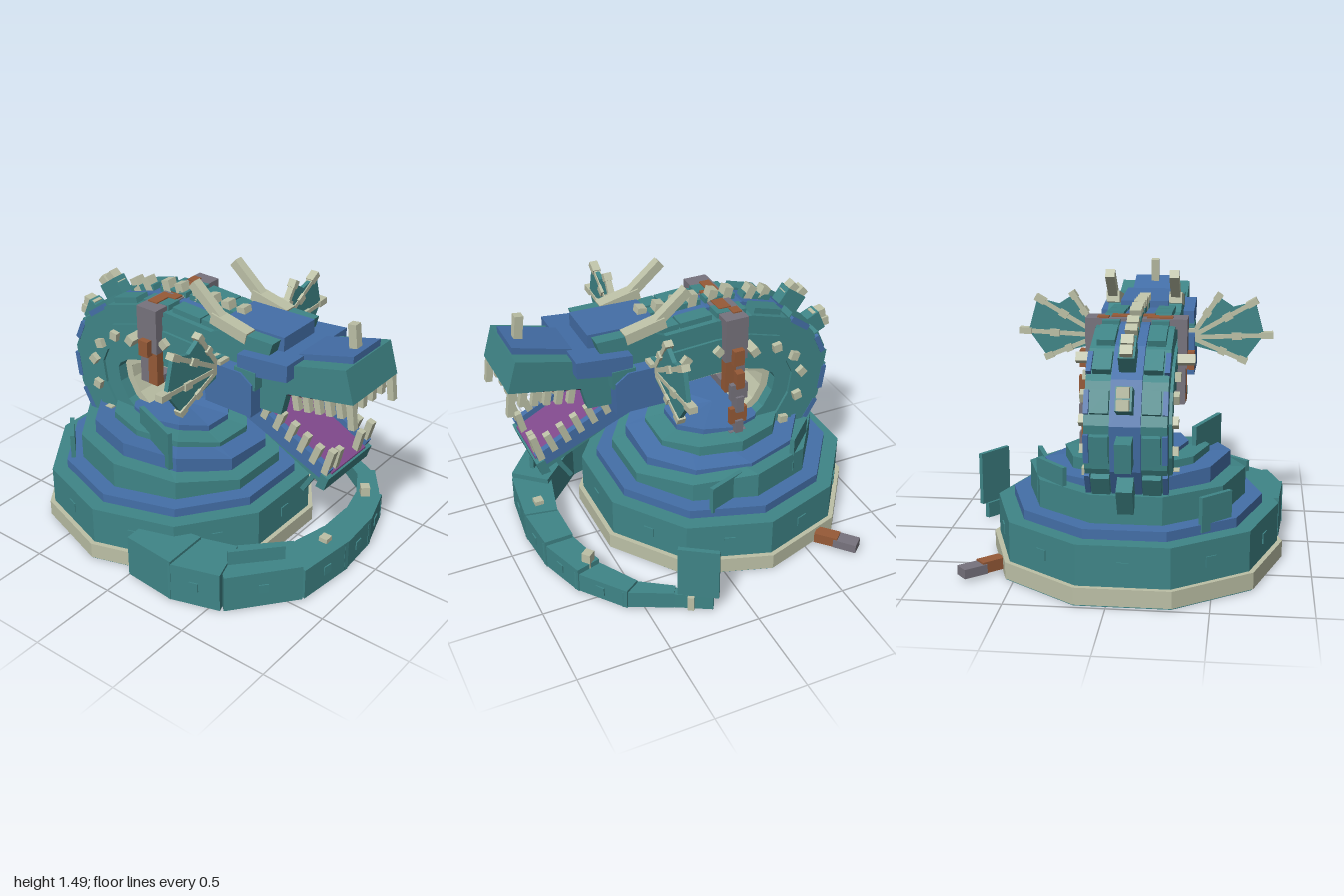
import * as THREE from 'three';

const mat = (name, color) => Object.assign(new THREE.MeshStandardMaterial({ color }), { name });
const teal = mat('teal scales', 0x3f8587), blue = mat('blue ridge', 0x446fa8), cream = mat('bone', 0xbcc0a6),
  rust = mat('rust', 0x965a37), iron = mat('iron', 0x77737d), purple = mat('tongue', 0x80498c),
  maroon = mat('mouth', 0x3f2039);
const V = (x, y, z) => new THREE.Vector3(x, y, z);

export function createModel() {
  const model = new THREE.Group();
  model.name = 'seaSerpent';
  const body = new THREE.Group();
  body.name = 'body';
  body.position.x = -0.08;
  model.add(body);

  const add = (name, geo, m, parent = body) => {
    const mesh = new THREE.Mesh(geo, m);
    mesh.name = name;
    parent.add(mesh);
    return mesh;
  };
  const flat = (geo) => {
    const g = geo.index ? geo.toNonIndexed() : geo;
    g.computeVertexNormals();
    return g;
  };
  const box = (name, m, w, h, d, x, y, z, rx = 0, ry = 0, rz = 0, parent = body) => {
    const b = add(name, new THREE.BoxGeometry(w, h, d), m, parent);
    b.position.set(x, y, z);
    b.rotation.set(rx, ry, rz);
    return b;
  };
  // side profile of [z, y] points, extruded from x0 to x1
  const slab = (name, m, pts, x0, x1) => {
    const shape = new THREE.Shape(pts.map(p => new THREE.Vector2(...p)));
    const g = new THREE.ExtrudeGeometry(shape, { depth: x1 - x0, bevelEnabled: false });
    return add(name, g.rotateY(-Math.PI / 2).translate(x1, 0, 0), m);
  };
  // bar of rectangular section between two points
  const bar = (name, m, a, b, w, d = w, parent = body) => {
    const dir = b.clone().sub(a);
    const mesh = add(name, new THREE.BoxGeometry(w, dir.length(), d), m, parent);
    mesh.position.copy(a).add(b).multiplyScalar(0.5);
    mesh.quaternion.setFromUnitVectors(V(0, 1, 0), dir.normalize());
    return mesh;
  };
  // rectangular tube along a path; dims(i) = [half width, low, high]
  const frame = (path, i, upright) => {
    const t = path[Math.min(i + 1, path.length - 1)].clone().sub(path[Math.max(i - 1, 0)]).normalize();
    const a = upright ? V(0, 1, 0).cross(t).normalize() : V(-1, 0, 0);
    return { a, n: upright ? V(0, 1, 0) : t.clone().cross(a) };
  };
  const sweep = (name, m, path, dims, upright = false, parent = body) => {
    const rows = path.map((p, i) => {
      const { a, n } = frame(path, i, upright), [w, lo, hi] = dims(i);
      return [[-w, lo], [w, lo], [w, hi], [-w, hi]].map(([u, v]) => p.clone().addScaledVector(a, u).addScaledVector(n, v));
    });
    const pos = [];
    const quad = (a, b, c, d) => [a, b, c, a, c, d].forEach(v => pos.push(v.x, v.y, v.z));
    for (let i = 0; i < rows.length - 1; i++)
      for (let j = 0; j < 4; j++) quad(rows[i][j], rows[i][(j + 1) % 4], rows[i + 1][(j + 1) % 4], rows[i + 1][j]);
    quad(...rows[0].slice().reverse());
    quad(...rows[rows.length - 1]);
    const g = new THREE.BufferGeometry().setAttribute('position', new THREE.Float32BufferAttribute(pos, 3));
    return add(name, flat(g), m, parent);
  };

  // Coils: ten-sided rings; upper ones drop toward the front and lean to one side
  const ring = (name, m, rIn, rOut, y0, y1, drop = 0, lean = 0) => {
    const pts = [[rIn, y0], [rOut, y0], [rOut, y1], [rIn, y1], [rIn, y0]].map(p => new THREE.Vector2(...p));
    const g = new THREE.LatheGeometry(pts, 10, Math.PI / 2).toNonIndexed(), p = g.attributes.position;
    for (let i = 0; i < p.count; i++)
      if (p.getY(i) > 0.3) p.setY(i, p.getY(i) - drop * Math.max(0, p.getZ(i) - 0.15) - lean * p.getX(i));
    add(name, flat(g), m).position.z = -0.25;
  };
  ring('coilSole', teal, 0.43, 0.765, 0.005, 0.015);
  ring('coilBelly', cream, 0.7, 0.772, 0.012, 0.1);
  ring('lowerCoil', teal, 0.43, 0.745, 0.014, 0.31);
  ring('lowerCoilRidge', blue, 0.45, 0.66, 0.3, 0.36);
  ring('middleCoil', teal, 0.23, 0.57, 0.3, 0.505, 0.22);
  ring('middleCoilRidge', blue, 0.2, 0.49, 0.48, 0.56, 0.2, 0.07);
  ring('upperCoil', teal, 0.02, 0.38, 0.5, 0.61, 0.3, 0.03);
  ring('upperCoilRidge', blue, 0, 0.27, 0.5, 0.63, 0.3, 0.03);
  for (let i = 0; i < 10; i++) {
    const a = (i + 0.5) * Math.PI / 5 + Math.PI / 2, r = 0.711;
    box('coilScale', teal, 0.06, 0.055, 0.008, Math.sin(a) * r, 0.2, Math.cos(a) * r - 0.25, 0, a);
  }
  // Upright fin plates on the coils: x0, z0, x1, z1, y0, y1
  [[-0.42, 0.02, -0.3, -0.28, 0.5, 0.72], [0.32, -0.67, 0.48, -0.5, 0.36, 0.6], [0.47, -0.25, 0.57, 0.03, 0.34, 0.5],
    [-0.5, -0.62, -0.36, -0.76, 0.32, 0.5], [-0.58, 0.52, -0.36, 0.72, 0.18, 0.3]].forEach(([x0, z0, x1, z1, y0, y1]) =>
    box('coilFin', teal, Math.hypot(x1 - x0, z1 - z0), y1 - y0, 0.025,
      (x0 + x1) / 2, (y0 + y1) / 2, (z0 + z1) / 2, 0, -Math.atan2(z1 - z0, x1 - x0)));

  // Tail sweeping across the front in stepped segments
  const tail = [[-0.74, 0], [-0.73, 0.28], [-0.66, 0.5], [-0.39, 0.74], [-0.1, 0.79], [0.14, 0.78], [0.38, 0.71], [0.6, 0.56], [0.71, 0.37], [0.82, 0.2]]
    .map(([x, z]) => V(x, 0, z));
  const tw = [0.095, 0.13, 0.13, 0.11, 0.09, 0.08, 0.07, 0.05, 0.03, 0.014];
  const th = [0.25, 0.235, 0.22, 0.19, 0.18, 0.155, 0.125, 0.11, 0.1];
  th.forEach((h, i) => {
    const d = tail[i + 1].clone().sub(tail[i]).normalize();
    const ends = [tail[i].clone().addScaledVector(d, i ? -0.025 : 0), tail[i + 1].clone().addScaledVector(d, 0.025)];
    sweep('tailSegment', teal, ends, k => [tw[i + k], 0.012, h], true, model);
    if (i < 1 || i > 6) return;
    const c = tail[i].clone().lerp(tail[i + 1], 0.5), w = (tw[i] + tw[i + 1]) / 2 + 0.003;
    box('tailScale', teal, 0.05, 0.05, 0.008, c.x - d.z * w, h * 0.55, c.z + d.x * w, 0, Math.atan2(-d.z, d.x), 0, model);
  });
  box('tailFin', teal, 0.025, 0.3, 0.216, 0.8, 0.25, 0.25, 0, Math.atan2(0.12, -0.18), 0, model);
  box('tailSpike', cream, 0.05, 0.09, 0.05, 0.37, 0.165, 0.69, 0, 0.7, 0, model);
  box('tailSpike', cream, 0.05, 0.05, 0.05, -0.16, 0.19, 0.78, 0, 0, 0, model);
  box('tailTipBone', cream, 0.06, 0.085, 0.035, 0.78, 0.055, 0.28, 0, -0.6, 0, model);

  // Arched neck
  const neck = [[0.22, 1.08], [0.02, 1.09], [-0.17, 1.1], [-0.35, 1.09], [-0.52, 1.04], [-0.63, 0.96], [-0.68, 0.85], [-0.66, 0.7], [-0.58, 0.56], [-0.45, 0.45]]
    .map(([z, y]) => V(0, y, z));
  sweep('neck', teal, neck, () => [0.2, -0.15, 0.165]);
  sweep('neckBelly', cream, neck, () => [0.14, -0.195, -0.145]);
  sweep('neckSideBand', teal, neck, () => [0.215, -0.05, 0.06]);
  sweep('neckRidge', blue, neck, () => [0.075, 0.1, 0.185]);
  for (let i = 0; i < 9; i++) {
    const p = neck[i].clone().lerp(neck[i + 1], 0.5);
    const t = neck[i + 1].clone().sub(neck[i]).normalize(), n = t.clone().cross(V(-1, 0, 0));
    const rx = Math.atan2(n.z, n.y), len = neck[i].distanceTo(neck[i + 1]), back = i > 3;
    const at = (name, m, w, h, d, x, off, along = 0, r = 0) => {
      const q = p.clone().addScaledVector(n, off).addScaledVector(t, along);
      return box(name, m, w, h, d, x, q.y, q.z, rx + r);
    };
    for (const s of [-1, 1]) {
      const big = i === 3;
      at('neckDiamond', cream, big ? 0.11 : 0.05, 0.047, 0.047, s * (big ? 0.25 : 0.22), 0, -len / 2, Math.PI / 4);
      if (back) at('neckBlueStripe', blue, 0.025, 0.03, len * 0.95, s * 0.19, 0.165);
      at('neckArmour', teal, 0.09, 0.05, len * 0.95, s * 0.125, 0.17);
    }
    at('dorsalPlate', teal, back ? 0.08 : 0.06, back ? 0.11 : 0.08, len * 0.98, 0, back ? 0.225 : 0.175);
    for (const k of i < 6 ? [-0.25, 0.25] : [])
      at('dorsalSpike', cream, 0.06, 0.08, 0.05, 0, back ? 0.28 : 0.215, k * len, -0.25);
  }

  // Skull, brow and snout
  slab('skull', teal, [[0.1, 0.96], [0.42, 1.02], [0.5, 1.3], [0.22, 1.3], [0.1, 1.24]], -0.2, 0.2);
  slab('brow', blue, [[0.63, 1.16], [0.63, 1.25], [0.33, 1.22], [0.33, 1.11]], -0.26, 0.26);
  slab('crown', blue, [[0.52, 1.2], [0.52, 1.315], [0.14, 1.305], [0.14, 1.2]], -0.13, 0.13);
  slab('snout', teal, [[0.3, 1.04], [0.55, 1.05], [0.97, 1.13], [0.92, 1.3], [0.6, 1.22], [0.3, 1.2]], -0.2, 0.2);
  slab('snoutRidge', blue, [[0.6, 1.17], [0.91, 1.27], [0.91, 1.335], [0.6, 1.25]], -0.12, 0.12);
  slab('palate', maroon, [[0.4, 1.03], [0.55, 1.035], [0.95, 1.12], [0.95, 1.126], [0.55, 1.05], [0.4, 1.045]], -0.185, 0.185);
  box('throat', cream, 0.18, 0.1, 0.06, 0, 0.98, 0.4);
  box('throatBack', teal, 0.36, 0.13, 0.04, 0, 0.965, 0.37);
  bar('noseHorn', cream, V(0, 1.28, 0.85), V(0, 1.44, 0.83), 0.045);

  // Lower jaw
  slab('jawFloor', blue, [[0.81, 0.63], [0.835, 0.668], [0.42, 0.88], [0.2, 0.9], [0.22, 0.87]], -0.18, 0.18);
  slab('jawUnderside', teal, [[0.79, 0.605], [0.82, 0.645], [0.35, 0.88], [0.25, 0.87]], -0.175, 0.175);
  slab('chin', teal, [[0.78, 0.597], [0.83, 0.59], [0.855, 0.665], [0.81, 0.68]], -0.2, 0.2);
  slab('jawBelly', cream, [[0.75, 0.585], [0.79, 0.61], [0.3, 0.88], [0.12, 0.91], [0.15, 0.87]], -0.12, 0.12);
  slab('tongue', purple, [[0.845, 0.668], [0.845, 0.677], [0.42, 0.895], [0.42, 0.885]], -0.155, 0.155);

  // Teeth
  for (let i = 0; i < 4; i++) box('frontTooth', cream, 0.035, 0.1, 0.035, (i - 1.5) * 0.085, 1.09, 0.925);
  for (const s of [-1, 1]) {
    const side = (name, m, pts, x0, x1) => s > 0 ? slab(name, m, pts, x0, x1) : slab(name, m, pts, -x1, -x0);
    side('jawRail', blue, [[0.82, 0.645], [0.855, 0.71], [0.42, 0.925], [0.2, 0.925], [0.22, 0.89]], 0.155, 0.19);
    for (let i = 0; i < 6; i++) {
      const z = 0.945 - i * 0.063, y = 1.13 - i * 0.012, h = i ? 0.085 : 0.14;
      bar('upperTooth', cream, V(s * 0.18, y + 0.02, z), V(s * 0.18, y - h, z + 0.02), 0.035);
      const lz = 0.82 - i * 0.075, ly = 0.725 + i * 0.037;
      bar('lowerTooth', cream, V(s * 0.175, ly - 0.045, lz), V(s * 0.175, ly + (i ? 0.06 : 0.1), lz + 0.04), 0.037);
    }
    bar('frontLowerTooth', cream, V(s * 0.1, 0.67, 0.82), V(s * 0.1, 0.8, 0.85), 0.035);
    // Cheeks, eye guards, horns and barbels
    side('cheek', blue, [[0.14, 0.9], [0.43, 0.9], [0.43, 1.08], [0.36, 1.13], [0.14, 1.13]], 0.17, 0.275);
    side('mouthCorner', teal, [[0.4, 0.92], [0.56, 0.93], [0.6, 1.1], [0.4, 1.1]], 0.15, 0.2);
    box('eyeGuard', teal, 0.06, 0.1, 0.13, s * 0.235, 1.1, 0.38);
    bar('hornBase', cream, V(s * 0.17, 1.28, 0.34), V(s * 0.17, 1.33, 0.12), 0.07, 0.06);
    bar('horn', cream, V(s * 0.17, 1.32, 0.17), V(s * 0.17, 1.475, -0.01), 0.05);
    bar('barbel', teal, V(s * 0.1, 0.62, 0.73), V(s * 0.1, 0.47, 0.64), 0.025);

    // Ear fan: thin web with bony rays
    const fan = new THREE.Group();
    fan.name = 'earFan';
    fan.position.set(0, 0, 0.2);
    body.add(fan);
    const web = [[0.2, 1.06], [0.28, 1.05], [0.55, 0.98], [0.65, 1.12], [0.6, 1.3], [0.48, 1.27], [0.405, 1.32], [0.28, 1.16], [0.2, 1.15]];
    const shape = new THREE.Shape(web.map(([x, y]) => new THREE.Vector2(s * x, y)));
    add('earWeb', new THREE.ExtrudeGeometry(shape, { depth: 0.024, bevelEnabled: false }).translate(0, 0, -0.012), teal, fan);
    [[0.41, 1.34], [0.61, 1.31], [0.7, 1.12], [0.56, 0.97]].forEach(([x, y]) => {
      const root = V(s * 0.25, 1.1, 0), tip = V(s * x, y, 0);
      bar('earRay', cream, root, tip, 0.025, 0.035, fan);
      bar('earRayJoint', cream, root.clone().lerp(tip, 0.5), root.clone().lerp(tip, 0.62), 0.04, 0.055, fan);
      bar('earRayTip', cream, root.clone().lerp(tip, 0.85), tip, 0.036, 0.045, fan);
    });
    box('earRoot', cream, 0.07, 0.1, 0.08, s * 0.24, 1.1, 0.2);

    // Iron collar sides with rusted lower straps
    box('collarSide', iron, 0.05, 0.25, 0.13, s * 0.235, 1.165, -0.26);
    box('collarStrap', iron, 0.045, 0.2, 0.06, s * 0.23, 0.95, -0.285);
    box('collarStrapRust', rust, 0.05, 0.2, 0.06, s * 0.23, 0.95, -0.23);
    box('collarBolt', rust, 0.04, 0.09, 0.06, s * 0.275, 1.07, -0.26);
  }
  // Collar top with rust patches, and underside
  box('collarTop', iron, 0.52, 0.05, 0.13, 0, 1.265, -0.26);
  [[-0.12, 0.13, 0.06, -0.28], [0.05, 0.16, 0.07, -0.25], [0.17, 0.06, 0.05, -0.29], [-0.04, 0.1, 0.05, -0.23]].forEach(([x, w, d, z]) =>
    box('rustPatch', rust, w, 0.008, d, x, 1.293, z));
  box('collarBottom', iron, 0.5, 0.045, 0.11, 0, 0.87, -0.26);
  // Hanging chain of alternating links
  for (let i = 0; i < 6; i++)
    box('chainLink', i === 0 || i === 3 ? rust : iron, i % 2 ? 0.03 : 0.06, 0.095, i % 2 ? 0.1 : 0.045, 0.27, 0.93 - i * 0.075, -0.27);
  // Broken shackle at the back
  box('shackleRust', rust, 0.13, 0.06, 0.07, 0.635, 0.055, -0.62, 0, 0.75, 0, model);
  box('shackleIron', iron, 0.13, 0.05, 0.08, 0.715, 0.05, -0.695, 0, 0.72, 0, model);
  return model;
}
